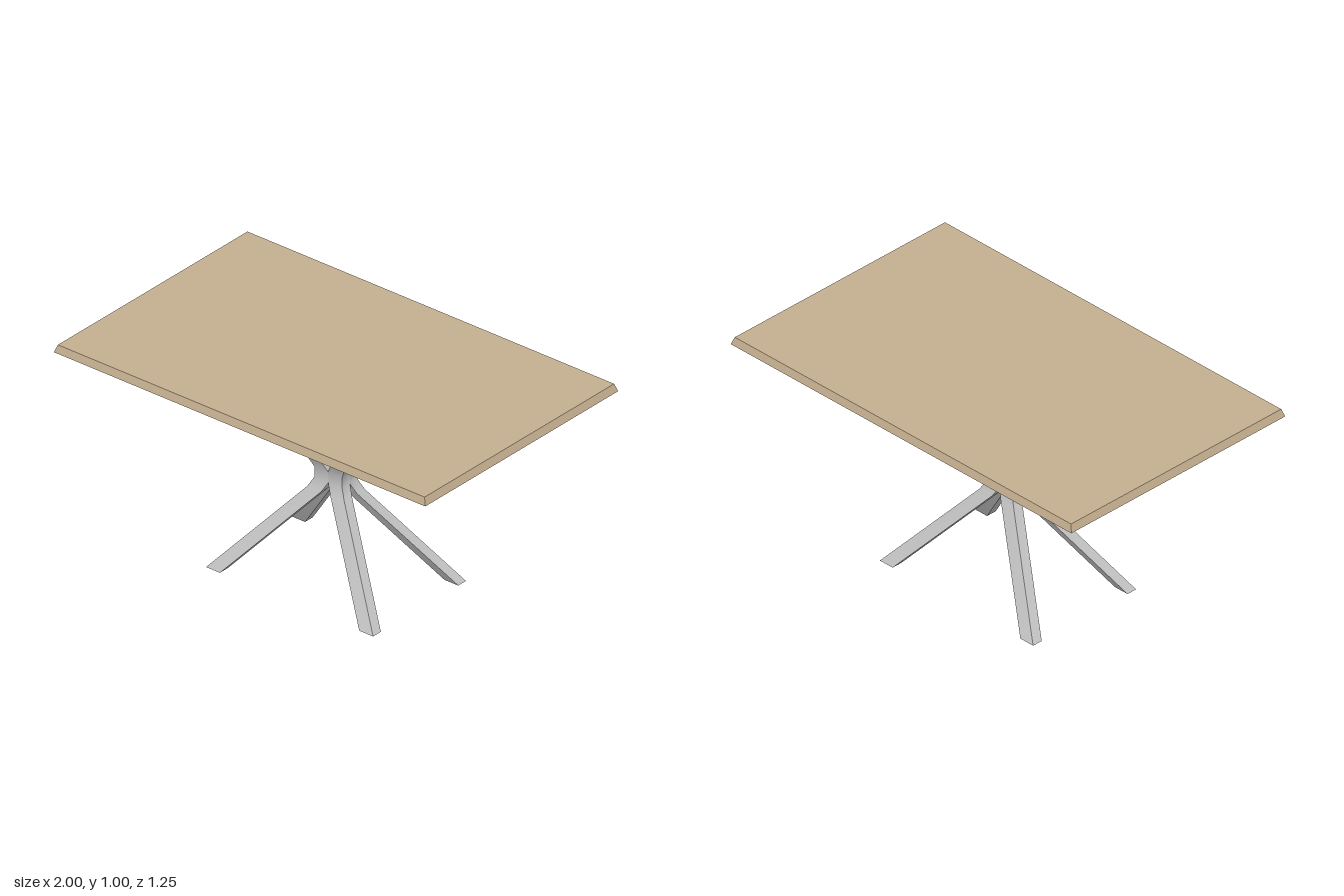
import * as THREE from 'three';
import { toCreasedNormals } from 'three/addons/utils/BufferGeometryUtils.js';

const LEG_X = 0.075, LEG_Z = 0.05; // horizontal leg section
// Height and inner z offset of each leg section; x follows at 1.5 times z
const LEVELS = [[0, 0.25], [0.413, 0.016], [0.458, 0], [0.508, 0], [0.553, 0.016], [0.938, 0.25]];

// Bent leg: a box whose rings are moved to the given levels
function legGeometry(sx, sz) {
  const n = LEVELS.length - 1;
  const geo = new THREE.BoxGeometry(LEG_X, 1, LEG_Z, 1, n, 1);
  const p = geo.attributes.position;
  for (let i = 0; i < p.count; i++) {
    const [y, inner] = LEVELS[Math.round((p.getY(i) + 0.5) * n)];
    const z = inner + LEG_Z / 2;
    p.setXYZ(i, p.getX(i) + sx * z * 1.5, y, p.getZ(i) + sz * z);
  }
  return toCreasedNormals(geo, 0.65);
}

// Slab with its upper edges drawn in
function topGeometry() {
  const geo = new THREE.BoxGeometry(2, 0.035, 1.246);
  const p = geo.attributes.position;
  for (let i = 0; i < p.count; i++) {
    if (p.getY(i) > 0) {
      p.setX(i, Math.sign(p.getX(i)) * 0.987);
      p.setZ(i, Math.sign(p.getZ(i)) * 0.612);
    }
  }
  return toCreasedNormals(geo, 0.2);
}

export function createModel() {
  const wood = new THREE.MeshStandardMaterial({ color: 0xc4ae8f });
  wood.name = 'lightWood';
  const metal = new THREE.MeshStandardMaterial({ color: 0xc2c2c2 });
  metal.name = 'greyMetal';

  const model = new THREE.Group();
  model.name = 'table';
  const add = (name, geo, mat, x = 0, y = 0, z = 0) => {
    const mesh = new THREE.Mesh(geo, mat);
    mesh.name = name;
    mesh.position.set(x, y, z);
    model.add(mesh);
  };

  add('tabletop', topGeometry(), wood, 0, 0.9825, 0);

  // Four legs meeting at the waist, each with a mounting block under the top
  const block = new THREE.BoxGeometry(LEG_X, 0.027, LEG_Z);
  for (const sx of [-1, 1]) {
    for (const sz of [-1, 1]) {
      const side = (sz > 0 ? 'front' : 'back') + (sx > 0 ? 'Left' : 'Right');
      add(side + 'Leg', legGeometry(sx, sz), metal);
      add(side + 'MountingBlock', block, metal, sx * 0.4125, 0.9515, sz * 0.275);
    }
  }
  return model;
}
